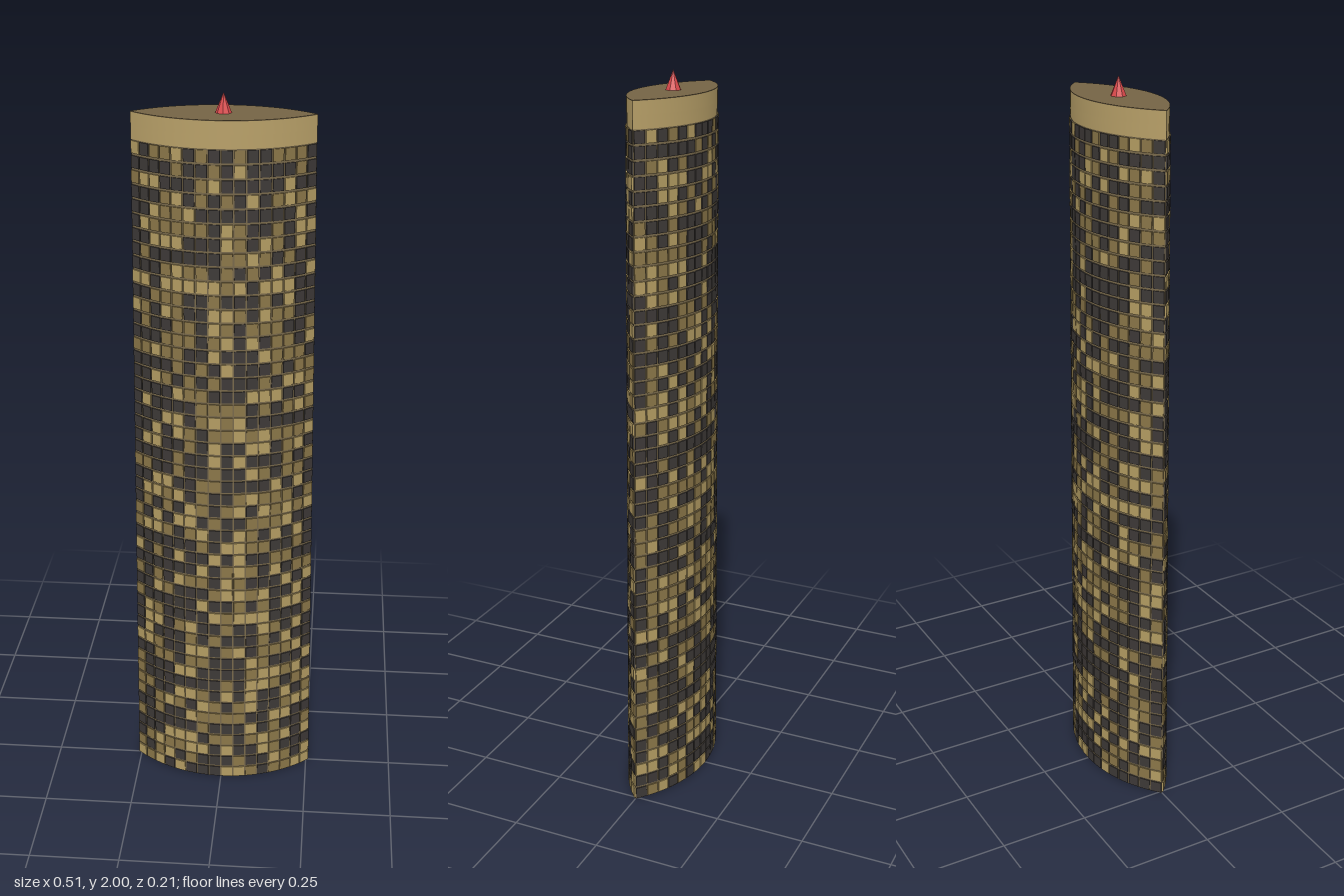
import * as THREE from 'three';
import { mergeGeometries, toCreasedNormals } from 'three/addons/utils/BufferGeometryUtils.js';

const HALF_WIDTH = 0.257, HALF_DEPTH = 0.103; // lens plan at ground level
const RADIUS = (HALF_WIDTH ** 2 + HALF_DEPTH ** 2) / (2 * HALF_DEPTH);
const OFFSET = RADIUS - HALF_DEPTH;
const HALF_ANGLE = Math.asin(HALF_WIDTH / RADIUS);
const WALL_TOP = 1.88, TOP_SCALE = 0.91, FLOORS = 50, COLUMNS = 16;

const taper = (y) => 1 + (TOP_SCALE - 1) * Math.min(y / WALL_TOP, 1);

// Upright prism with a pointed lens plan made of two arcs
function lensPrism(scale, height) {
  const shape = new THREE.Shape();
  const q = Math.PI / 2;
  shape.absarc(0, -OFFSET * scale, RADIUS * scale, q - HALF_ANGLE, q + HALF_ANGLE, false);
  shape.absarc(0, OFFSET * scale, RADIUS * scale, 3 * q - HALF_ANGLE, 3 * q + HALF_ANGLE, false);
  const geometry = new THREE.ExtrudeGeometry(shape, { depth: height, bevelEnabled: false, curveSegments: 16 });
  return geometry.rotateX(-Math.PI / 2);
}

// Small seeded generator for the lit and dark pattern
function seeded(seed) {
  return () => {
    seed = (seed * 1664525 + 1013904223) % 4294967296;
    return seed / 4294967296;
  };
}

export function createModel() {
  const group = new THREE.Group();
  const add = (name, geometry, color, y = 0, flatShading = false) => {
    const mesh = new THREE.Mesh(geometry, new THREE.MeshStandardMaterial({ color, flatShading }));
    mesh.name = name;
    mesh.position.y = y;
    group.add(mesh);
  };

  // Tapering core wall, seen as the frame between the windows
  const core = lensPrism(1, WALL_TOP);
  const p = core.attributes.position;
  for (let i = 0; i < p.count; i++) {
    const k = taper(p.getY(i));
    p.setXYZ(i, p.getX(i) * k, p.getY(i), p.getZ(i) * k);
  }
  add('towerWall', toCreasedNormals(core, 0.5), 0x77684a);

  // Window panels on both curved faces, sorted by colour
  const random = seeded(7);
  const panels = { lit: [], dim: [], dark: [] };
  const floorHeight = WALL_TOP / FLOORS;
  const step = (2 * HALF_ANGLE) / COLUMNS;
  for (let floor = 0; floor < FLOORS; floor++) {
    const y = (floor + 0.5) * floorHeight;
    const k = taper(y);
    const darkShare = 0.42 + 0.16 * random();
    for (const turn of [0, Math.PI]) {
      for (let column = 0; column < COLUMNS; column++) {
        const angle = -HALF_ANGLE + (column + 0.5) * step;
        const panel = new THREE.BoxGeometry(RADIUS * k * step * 0.88, floorHeight * 0.84, 0.006);
        panel.rotateY(angle);
        panel.translate(RADIUS * k * Math.sin(angle), y, (RADIUS * Math.cos(angle) - OFFSET) * k);
        panel.rotateY(turn);
        const pick = random();
        const kind = pick < darkShare ? 'dark' : pick < darkShare + 0.27 ? 'dim' : 'lit';
        panels[kind].push(panel);
      }
    }
  }
  add('litWindows', mergeGeometries(panels.lit), 0xb39c62);
  add('dimWindows', mergeGeometries(panels.dim), 0x8a7648);
  add('darkWindows', mergeGeometries(panels.dark), 0x3d3937);

  // Two plain bands crown the wall, closed by the roof deck
  for (let i = 0; i < 2; i++) {
    add(i ? 'upperCrownBand' : 'lowerCrownBand', toCreasedNormals(lensPrism(TOP_SCALE + 0.004, 0.034), 0.5), 0xb8a068, WALL_TOP + i * 0.034);
  }
  add('roofDeck', lensPrism(TOP_SCALE + 0.004, 0.002), 0x756445, 1.948);

  // Red beacon
  add('beacon', new THREE.ConeGeometry(0.021, 0.05, 8), 0xd9484a, 1.975, true);
  return group;
}
